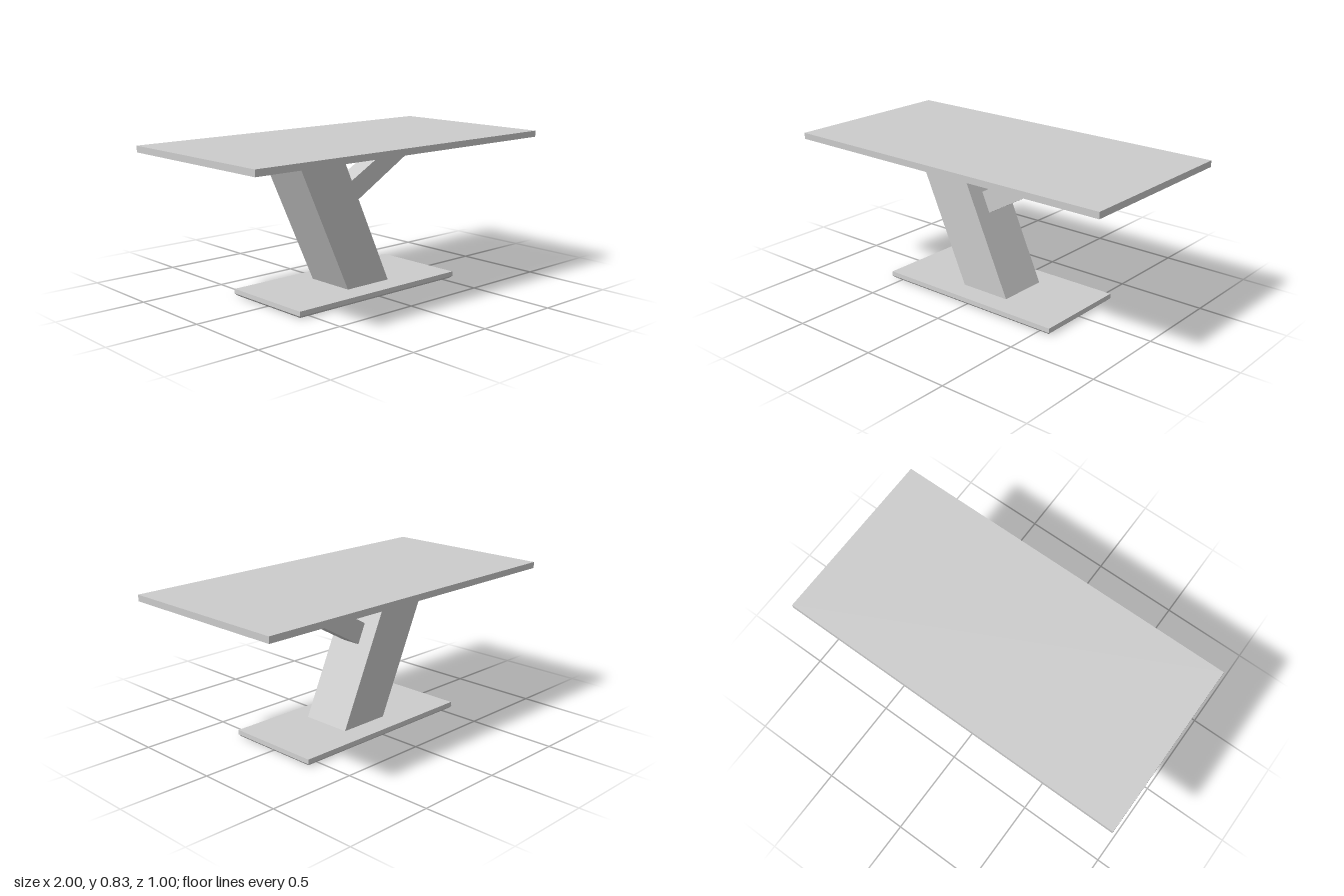
import * as THREE from 'three';

const grey = new THREE.MeshStandardMaterial({ color: 0xcccccc });
grey.name = 'light grey';

function part(name, geometry) {
  const mesh = new THREE.Mesh(geometry, grey);
  mesh.name = name;
  return mesh;
}

// Side profile in x and y, extruded symmetrically about z = 0
function slab(points, depth) {
  const shape = new THREE.Shape(points.map(([x, y]) => new THREE.Vector2(x, y)));
  const geometry = new THREE.ExtrudeGeometry(shape, { depth, bevelEnabled: false });
  return geometry.translate(0, 0, -depth / 2);
}

// Base plate, widest at the top of a small chamfer along its bottom edge
function basePlate(width, height, depth, chamfer) {
  const geometry = new THREE.BoxGeometry(width, height, depth, 1, 2, 1).toNonIndexed();
  const p = geometry.attributes.position;
  for (let i = 0; i < p.count; i++) {
    const y = p.getY(i);
    const inset = y < -height / 4 ? chamfer : y > height / 4 ? 0.002 : 0;
    p.setX(i, p.getX(i) - Math.sign(p.getX(i)) * inset);
    p.setZ(i, p.getZ(i) - Math.sign(p.getZ(i)) * inset);
    if (Math.abs(y) < height / 4) p.setY(i, chamfer - height / 2);
  }
  geometry.computeVertexNormals();
  return geometry.translate(0, height / 2, 0);
}

export function createModel() {
  const table = new THREE.Group();
  table.name = 'table';

  const top = part('tableTop', new THREE.BoxGeometry(2, 0.035, 1));
  top.position.y = 0.8175;

  // Slanted main leg
  const leg = part('leg', slab([[-0.125, 0.037], [0.175, 0.037], [-0.176, 0.8], [-0.478, 0.8]], 0.293));

  // Diagonal brace, its lower end flush with the leg
  const brace = part('brace', slab([[-0.021, 0.465], [0.565, 0.8], [0.34, 0.8], [-0.071, 0.575]], 0.109));

  table.add(top, leg, brace, part('base', basePlate(1.14, 0.037, 0.556, 0.012)));
  return table;
}
